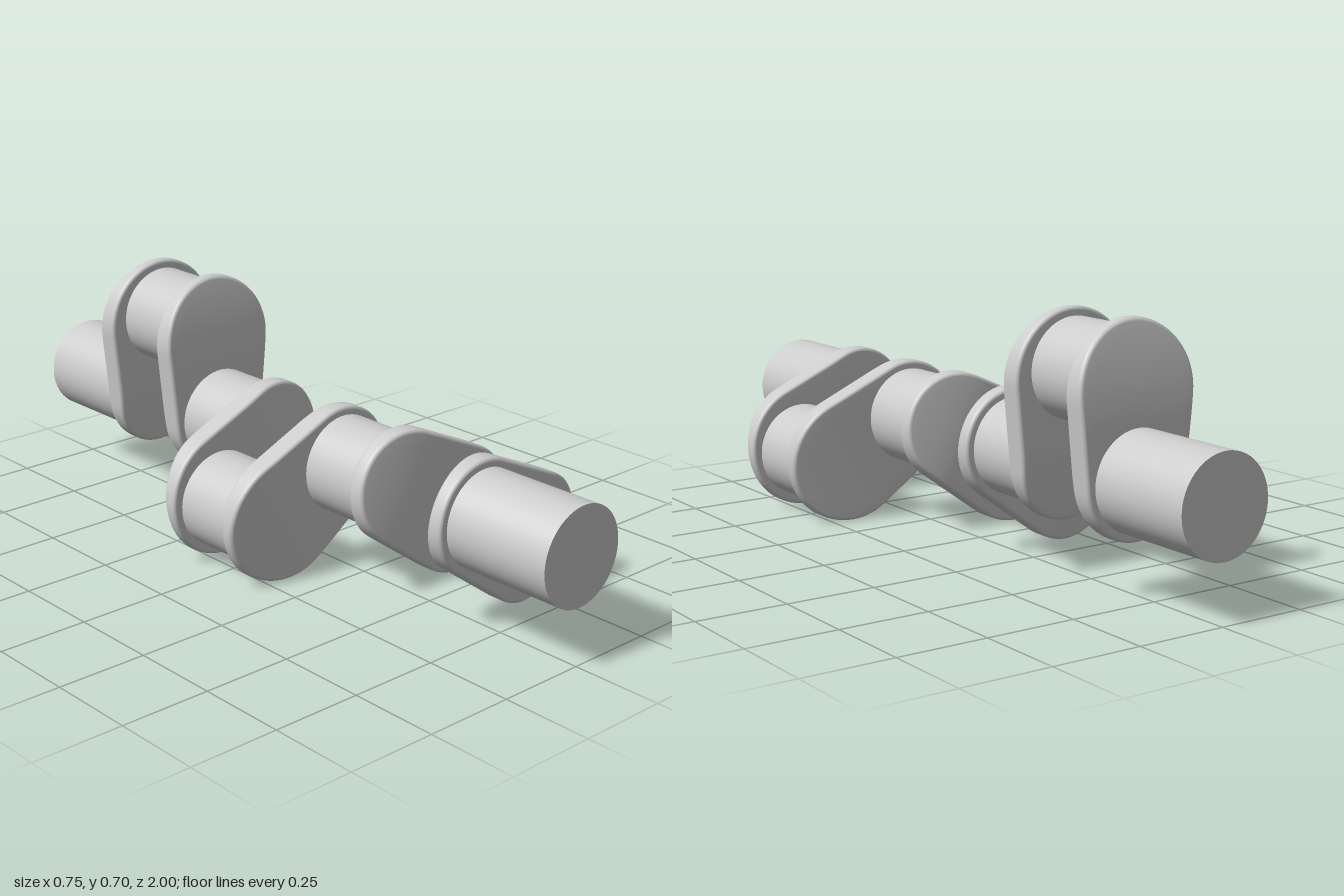
import * as THREE from 'three';

const AXIS_Y = 0.293;                 // height of the main journals
const R = 0.134;                      // journal and pin radius
const THROW = 0.246;                  // pin offset from the main axis
const WEB = { r1: 0.157, r2: 0.18, length: 0.224, half: 0.0325, fillet: 0.01 };

// Outline of a web: spine point u, radius r and outward angle a at each step
function webOutline() {
  const { r1, r2, length } = WEB;
  const tilt = Math.asin((r2 - r1) / length);
  const steps = [];
  const arc = (u, r, from, to) => {
    for (let i = 0; i <= 40; i++) steps.push({ u, r, a: from + (to - from) * i / 40 });
  };
  const side = (a, up) => {
    for (let i = 1; i < 14; i++) {
      const t = up ? i / 14 : 1 - i / 14;
      steps.push({ u: length * t, r: r1 + (r2 - r1) * t, a });
    }
  };
  arc(length, r2, -tilt, Math.PI + tilt);
  side(Math.PI + tilt, false);
  arc(0, r1, Math.PI + tilt, 2 * Math.PI - tilt);
  side(2 * Math.PI - tilt, true);
  return steps;
}

// Web with rounded rim; pin side faces +z, each face falls away at one end
function webGeometry() {
  const { half, fillet } = WEB;
  const steps = webOutline();
  const n = steps.length;
  const face = [0, 0.2, 0.4, 0.6, 0.8].map(f => ({ f, inset: fillet * f, dz: 0 }));
  const rim = [0, 1, 2, 3, 4].map(i => {
    const a = i / 4 * Math.PI / 2;
    return { f: 1, inset: fillet * (1 - Math.sin(a)), dz: fillet * (1 - Math.cos(a)) };
  });
  const pinSide = [...face, ...rim].map(k => ({ ...k, s: 1 }));
  const rings = [...pinSide, ...pinSide.map(k => ({ ...k, s: -1 })).reverse()];
  const innerDrop = y => 0.022 * Math.max(0, (0.03 - y) / 0.187) ** 1.5;
  const outerDrop = y => 0.03 * Math.max(0, (y - 0.14) / 0.264) ** 2;

  const pos = [], index = [];
  for (const { f, inset, dz, s } of rings) {
    for (const { u, r, a } of steps) {
      const d = r * f - inset;
      const x = d * Math.cos(a), y = u + d * Math.sin(a);
      const drop = s > 0 ? innerDrop(y) : outerDrop(y);
      pos.push(x, y, s * (half - dz - drop));
    }
  }
  for (let k = 0; k < rings.length - 1; k++) {
    for (let i = 0; i < n; i++) {
      const j = (i + 1) % n;
      const a = k * n + i, b = k * n + j, c = a + n, d = b + n;
      index.push(a, c, d, a, d, b);
    }
  }
  const g = new THREE.BufferGeometry();
  g.setAttribute('position', new THREE.Float32BufferAttribute(pos, 3));
  g.setIndex(index);
  g.computeVertexNormals();
  return g;
}

export function createModel() {
  const model = new THREE.Group();
  model.name = 'crankshaft';
  const steel = new THREE.MeshStandardMaterial({ color: 0xcccccc });
  steel.name = 'light steel grey';

  const rod = (name, z0, z1, y) => {
    const g = new THREE.CylinderGeometry(R, R, z1 - z0, 64).rotateX(Math.PI / 2);
    const m = new THREE.Mesh(g, steel);
    m.name = name;
    m.position.set(0, y, (z0 + z1) / 2);
    return m;
  };

  // Main journals along the axis
  const journals = [[0.65, 1], [0.131, 0.386], [-0.386, -0.131], [-1, -0.65]];
  journals.forEach(([a, b], i) => model.add(rod('mainJournal' + (i + 1), a, b, AXIS_Y)));

  // Three throws, each a pin between two mirrored webs, 120 degrees apart
  const web = webGeometry();
  const turn = 2 * Math.PI / 3;
  [[0.518, -turn], [0, turn], [-0.518, 0]].forEach(([z, angle], i) => {
    const crank = new THREE.Group();
    crank.name = 'throw' + (i + 1);
    crank.position.set(0, AXIS_Y, z);
    crank.rotation.z = angle;
    crank.add(rod('crankPin', -0.12, 0.12, THROW));
    for (const s of [1, -1]) {
      const m = new THREE.Mesh(web, steel);
      m.name = s > 0 ? 'frontWeb' : 'backWeb';
      m.position.z = s * 0.1315;
      if (s > 0) m.rotation.y = Math.PI;
      crank.add(m);
    }
    model.add(crank);
  });
  return model;
}
